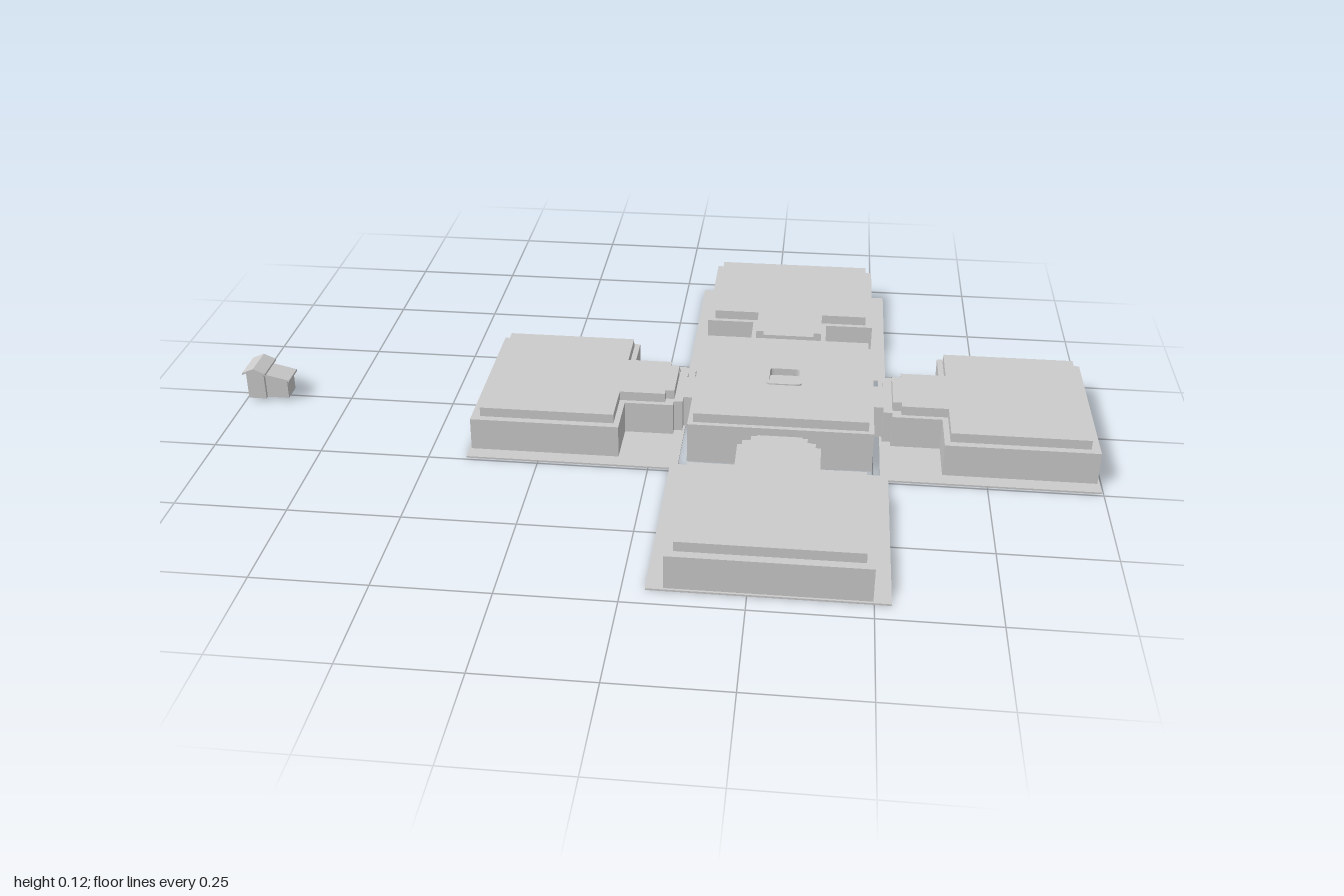
import * as THREE from 'three';

const material = new THREE.MeshStandardMaterial({ color: 0xcccccc, flatShading: true, side: THREE.DoubleSide });
const CENTRE_X = 0.291;

function add(parent, name, geometry, x = 0, y = 0, z = 0) {
  const mesh = new THREE.Mesh(geometry, material);
  mesh.name = name;
  mesh.position.set(x, y, z);
  parent.add(mesh);
  return mesh;
}

// Box given by its lower and upper corners
function block(parent, name, [x0, y0, z0], [x1, y1, z1]) {
  return add(parent, name, new THREE.BoxGeometry(x1 - x0, y1 - y0, z1 - z0),
    (x0 + x1) / 2, (y0 + y1) / 2, (z0 + z1) / 2);
}

// Mirrored floor outline, given as [half width, distance] pairs, raised from y0 to y1
function slab(parent, name, half, y0, y1, hole) {
  const points = [...half, ...half.slice().reverse().map(([x, d]) => [-x, d])];
  const shape = new THREE.Shape(points.map(([x, d]) => new THREE.Vector2(x, d)));
  if (hole) shape.holes.push(hole);
  const geometry = new THREE.ExtrudeGeometry(shape, { depth: y1 - y0, bevelEnabled: false, curveSegments: 3 });
  geometry.rotateX(-Math.PI / 2);
  return add(parent, name, geometry, 0, y0, 0);
}

// Solid with an upright [x, y] profile running along z
function prism(parent, name, profile, halfDepth) {
  const shape = new THREE.Shape(profile.map(([x, y]) => new THREE.Vector2(x, y)));
  const geometry = new THREE.ExtrudeGeometry(shape, { depth: halfDepth * 2, bevelEnabled: false });
  return add(parent, name, geometry, 0, 0, -halfDepth);
}

// Rounded square path for the skylight
function roundedSquare(r, c) {
  const p = new THREE.Path();
  p.moveTo(-r + c, -r);
  p.lineTo(r - c, -r).quadraticCurveTo(r, -r, r, -r + c);
  p.lineTo(r, r - c).quadraticCurveTo(r, r, r - c, r);
  p.lineTo(-r + c, r).quadraticCurveTo(-r, r, -r, r - c);
  p.lineTo(-r, -r + c).quadraticCurveTo(-r, -r, -r + c, -r);
  return p;
}

// One wing with its ground plate and stepped neck, running away from the hub
function createWing(name, angle) {
  const wing = new THREE.Group();
  wing.name = name;
  block(wing, 'groundPlate', [-0.243, 0, -0.705], [0.243, 0.004, -0.225]);
  slab(wing, 'walls', [[0.05, 0.205], [0.05, 0.23], [0.073, 0.23], [0.073, 0.25], [0.092, 0.25],
    [0.092, 0.362], [0.207, 0.362], [0.207, 0.7]], 0.002, 0.08);
  slab(wing, 'roof', [[0.062, 0.25], [0.062, 0.27], [0.08, 0.27], [0.08, 0.375],
    [0.19, 0.375], [0.19, 0.68]], 0.08, 0.102);
  wing.rotation.y = angle;
  return wing;
}

// Central block with a raised roof and a shallow skylight
function createHub() {
  const hub = new THREE.Group();
  hub.name = 'hub';
  block(hub, 'hubWalls', [-0.207, 0.002, -0.207], [0.207, 0.098, 0.207]);
  const square = [[0.195, -0.195], [0.195, 0.195]];
  slab(hub, 'hubRoof', square, 0.098, 0.12, roundedSquare(0.034, 0.008));
  const rim = new THREE.Shape(roundedSquare(0.041, 0.01).getPoints(3));
  rim.holes.push(roundedSquare(0.034, 0.008));
  const rimGeometry = new THREE.ExtrudeGeometry(rim, { depth: 0.003, bevelEnabled: false, curveSegments: 3 });
  rimGeometry.rotateX(-Math.PI / 2);
  add(hub, 'skylightRim', rimGeometry, 0, 0.12, 0);
  block(hub, 'skylightFloor', [-0.036, 0.1, -0.036], [0.036, 0.106, 0.036]);
  block(hub, 'basePad', [-0.043, 0, -0.043], [0.043, 0.003, 0.043]);
  return hub;
}

// Small gabled hut with a lean-to, standing apart from the main building
function createHut() {
  const hut = new THREE.Group();
  hut.name = 'hut';
  prism(hut, 'hutWalls', [[-0.993, 0.006], [-0.95, 0.006], [-0.95, 0.072], [-0.972, 0.082], [-0.993, 0.072]], 0.034);
  prism(hut, 'hutRoof', [[-1, 0.071], [-0.972, 0.083], [-0.944, 0.071], [-0.944, 0.076],
    [-0.972, 0.088], [-1, 0.076]], 0.041);
  prism(hut, 'leanToWalls', [[-0.952, 0.006], [-0.897, 0.006], [-0.897, 0.053], [-0.952, 0.066]], 0.025);
  prism(hut, 'leanToRoof', [[-0.952, 0.065], [-0.89, 0.051], [-0.89, 0.056], [-0.952, 0.07]], 0.03);
  return hut;
}

export function createModel() {
  const model = new THREE.Group();
  model.name = 'crossBuilding';
  const building = new THREE.Group();
  building.name = 'building';
  building.position.x = CENTRE_X;
  ['backWing', 'rightWing', 'frontWing', 'leftWing'].forEach((name, i) =>
    building.add(createWing(name, i * Math.PI / 2)));
  building.add(createHub());
  model.add(building, createHut());
  return model;
}
